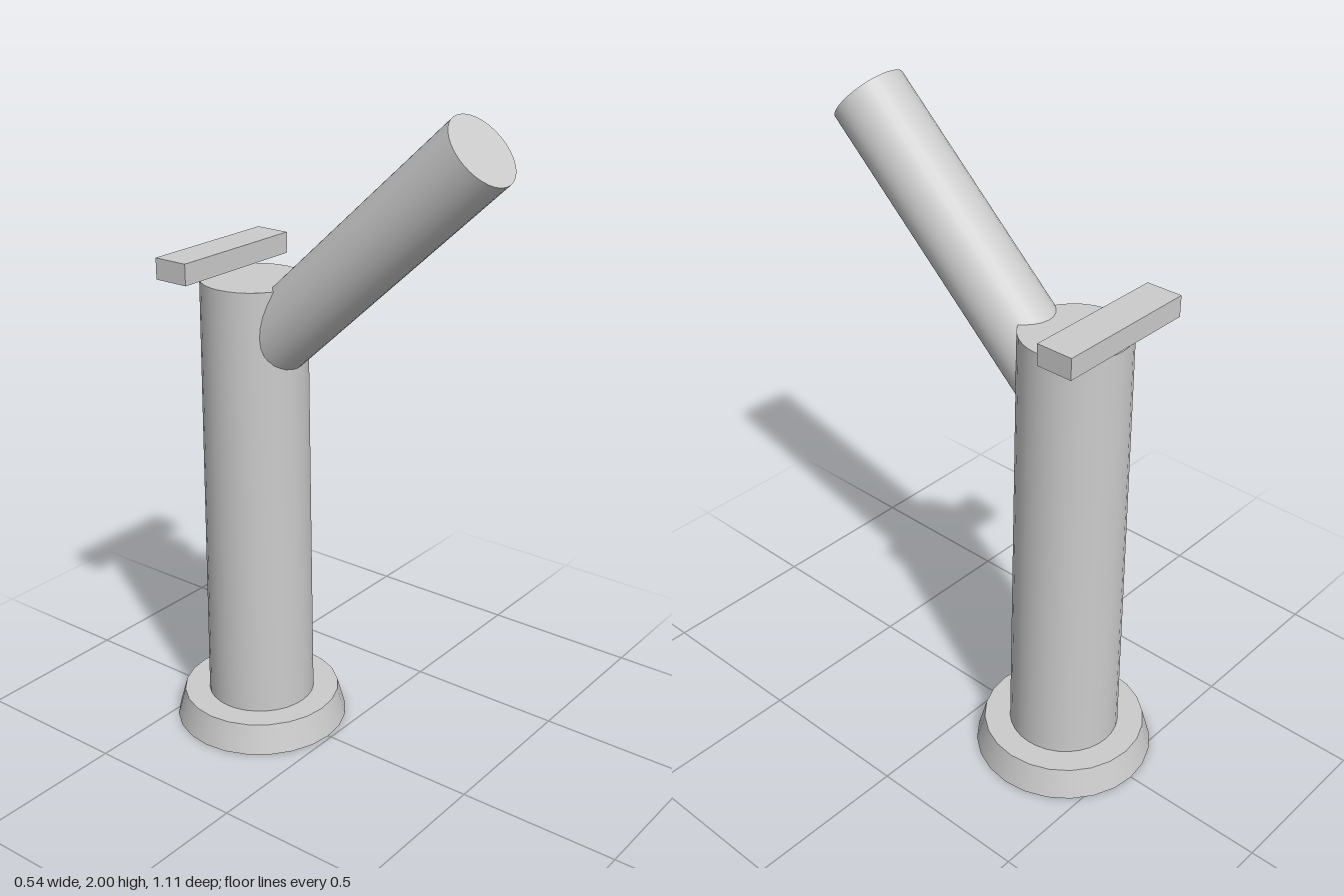
import * as THREE from 'three';

const AXIS_Z = -0.283; // centre line of the upright body

export function createModel() {
  const group = new THREE.Group();
  const material = new THREE.MeshStandardMaterial({ color: 0xcccccc });

  function add(name, geometry, x, y, z) {
    const mesh = new THREE.Mesh(geometry, material);
    mesh.name = name;
    mesh.position.set(x, y, z);
    group.add(mesh);
    return mesh;
  }

  // Tapered foot and column
  add('baseFlange', new THREE.CylinderGeometry(0.247, 0.272, 0.092, 24), 0, 0.046, AXIS_Z);
  add('column', new THREE.CylinderGeometry(0.158, 0.168, 1.375, 32), 0, 0.7675, AXIS_Z);

  // Spout rising forward out of the column
  const spoutEnd = new THREE.Vector3(0, 1.918, 0.478);
  const angle = THREE.MathUtils.degToRad(42.7);
  const direction = new THREE.Vector3(0, Math.sin(angle), Math.cos(angle));
  const length = 1.0;
  const centre = spoutEnd.clone().addScaledVector(direction, -length / 2);
  const spout = add('spout', new THREE.CylinderGeometry(0.112, 0.112, length, 32), 0, centre.y, centre.z);
  spout.rotation.x = Math.PI / 2 - angle;

  // Flat handle bar hovering just above the column
  add('handleBar', new THREE.BoxGeometry(0.452, 0.064, 0.112), 0, 1.503, -0.398);

  return group;
}
